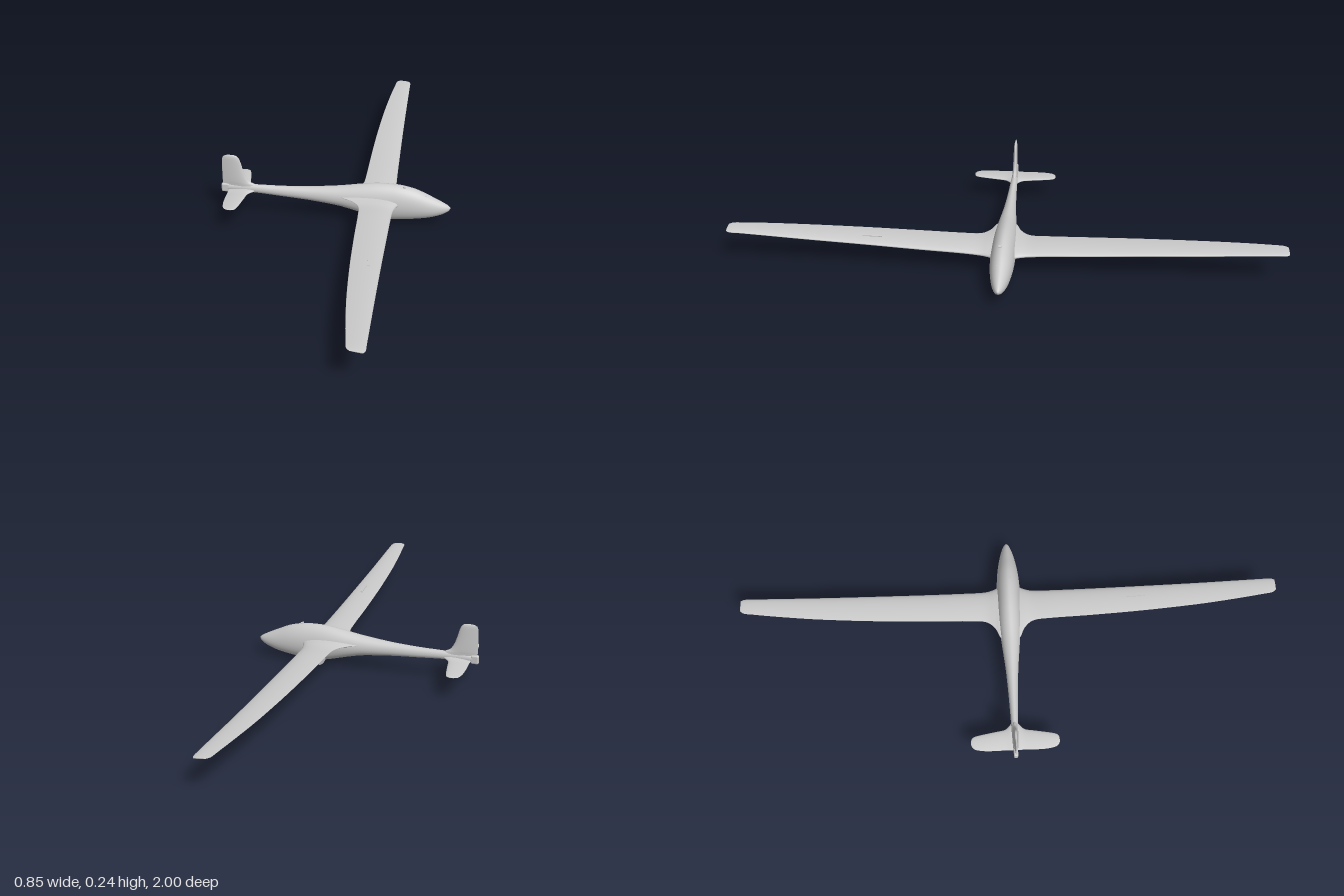
import * as THREE from 'three';
import { RoundedBoxGeometry } from 'three/addons/geometries/RoundedBoxGeometry.js';

const grey = new THREE.MeshStandardMaterial({ color: 0xcccccc });

function add(parent, name, geometry, x = 0, y = 0, z = 0) {
  const mesh = new THREE.Mesh(geometry, grey);
  mesh.name = name;
  mesh.position.set(x, y, z);
  parent.add(mesh);
  return mesh;
}

// Resample a table of section values with a smooth spline through each column
function smooth(rows, count) {
  const curves = rows[0].map((_, c) =>
    new THREE.SplineCurve(rows.map((r, i) => new THREE.Vector2(i, r[c]))));
  return Array.from({ length: count + 1 }, (_, i) => curves.map((c) => c.getPoint(i / count).y));
}

// Skin closed rings of points, capping both ends; faces are turned outward by signed volume
function loft(rings) {
  const n = rings[0].length, pts = rings.flat(), idx = [];
  for (let i = 0; i < rings.length - 1; i++) {
    for (let j = 0; j < n; j++) {
      const a = i * n + j, b = i * n + (j + 1) % n;
      idx.push(a, b, a + n, b, b + n, a + n);
    }
  }
  [0, rings.length - 1].forEach((r) => {
    const centre = rings[r].reduce((s, p) => s.add(p), new THREE.Vector3()).divideScalar(n);
    const c = pts.push(centre) - 1;
    for (let j = 0; j < n; j++) {
      const a = r * n + j, b = r * n + (j + 1) % n;
      idx.push(...(r === 0 ? [c, b, a] : [c, a, b]));
    }
  });
  let volume = 0;
  for (let i = 0; i < idx.length; i += 3) {
    volume += pts[idx[i]].dot(pts[idx[i + 1]].clone().cross(pts[idx[i + 2]]));
  }
  if (volume < 0) idx.reverse();
  const g = new THREE.BufferGeometry().setFromPoints(pts);
  g.setIndex(idx);
  g.computeVertexNormals();
  return g;
}

// Teardrop aerofoil outline: [position along chord, offset across it]
function foil(te, le, thickness, n = 28) {
  return Array.from({ length: n }, (_, i) => {
    const a = (i / n) * Math.PI * 2, u = 0.5 + 0.5 * Math.cos(a);
    return [te + (le - te) * u, thickness * 0.65 * Math.sin(a) * Math.sqrt(u + 0.03)];
  });
}

// Span rows: [z, trailing x, leading x, mid y, thickness, drop towards the leading edge]
function liftingSurface(rows, count) {
  const half = smooth(rows, count);
  const full = [...half.slice(1).reverse().map((r) => [-r[0], ...r.slice(1)]), ...half];
  return loft(full.map(([z, te, le, y, t, drop]) =>
    foil(te, le, t).map(([x, h]) =>
      new THREE.Vector3(x, y + h - drop * ((x - te) / (le - te) - 0.5), z))));
}

export function createModel() {
  const model = new THREE.Group();
  model.name = 'glider';
  const craft = new THREE.Group();
  craft.name = 'airframe';
  craft.rotation.y = 0.012;
  model.add(craft);

  // Fuselage: [x, top, bottom, half width]
  const body = smooth([
    [-0.425, 0.113, 0.091, 0.006], [-0.38, 0.119, 0.09, 0.01], [-0.3, 0.12, 0.088, 0.013],
    [-0.2, 0.12, 0.08, 0.017], [-0.1, 0.124, 0.072, 0.023], [0, 0.133, 0.06, 0.033],
    [0.05, 0.14, 0.049, 0.038], [0.1, 0.148, 0.035, 0.042], [0.15, 0.154, 0.021, 0.044],
    [0.2, 0.155, 0.014, 0.044], [0.25, 0.15, 0.017, 0.043], [0.3, 0.137, 0.022, 0.039],
    [0.35, 0.114, 0.03, 0.031], [0.39, 0.094, 0.042, 0.021], [0.415, 0.08, 0.055, 0.011],
    [0.425, 0.071, 0.066, 0.002],
  ], 75);
  add(craft, 'fuselage', loft(body.map(([x, top, bottom, w]) => {
    const mid = bottom + (top - bottom) * 0.45;
    return Array.from({ length: 40 }, (_, i) => {
      const a = (i / 40) * Math.PI * 2, s = Math.sin(a), c = Math.cos(a);
      const z = Math.sign(c) * Math.abs(c) ** (s > 0 ? 1.1 : 0.8) * w;
      return new THREE.Vector3(x, mid + s * (s > 0 ? top - mid : mid - bottom), z);
    });
  })));

  // Main wing with a flared root and raised tips
  add(craft, 'wing', liftingSurface([
    [0, 0.0, 0.25, 0.098, 0.034, 0.016], [0.035, 0.025, 0.238, 0.097, 0.032, 0.016],
    [0.055, 0.065, 0.228, 0.096, 0.028, 0.015], [0.09, 0.093, 0.219, 0.095, 0.023, 0.014],
    [0.16, 0.099, 0.216, 0.098, 0.021, 0.013], [0.3, 0.102, 0.214, 0.103, 0.019, 0.012],
    [0.5, 0.109, 0.212, 0.112, 0.016, 0.01], [0.7, 0.121, 0.211, 0.121, 0.014, 0.009],
    [0.85, 0.135, 0.211, 0.129, 0.011, 0.008], [0.95, 0.147, 0.211, 0.134, 0.009, 0.007],
    [0.985, 0.152, 0.211, 0.135, 0.008, 0.007], [1.0, 0.163, 0.205, 0.136, 0.004, 0.005],
  ], 66));

  // Airbrake plate on one wing
  add(craft, 'airbrake', new THREE.BoxGeometry(0.008, 0.006, 0.07), 0.17, 0.118, 0.475)
    .rotation.set(-0.04, 0.04, -0.1);

  // Tailplane
  add(craft, 'tailplane', liftingSurface([
    [0, -0.403, -0.285, 0.097, 0.014, 0], [0.015, -0.402, -0.305, 0.097, 0.013, 0],
    [0.035, -0.401, -0.324, 0.096, 0.011, 0], [0.07, -0.402, -0.331, 0.096, 0.01, 0],
    [0.11, -0.401, -0.338, 0.096, 0.009, 0], [0.14, -0.396, -0.344, 0.096, 0.007, 0],
    [0.154, -0.388, -0.35, 0.096, 0.005, 0], [0.16, -0.377, -0.361, 0.096, 0.002, 0],
  ], 35));

  // Upright fin: [y, trailing x, leading x, thickness]
  const fin = smooth([
    [0.1, -0.424, -0.27, 0.018], [0.12, -0.424, -0.302, 0.018], [0.13, -0.424, -0.321, 0.018],
    [0.15, -0.424, -0.335, 0.017], [0.18, -0.424, -0.346, 0.015], [0.21, -0.423, -0.354, 0.013],
    [0.226, -0.421, -0.361, 0.011], [0.234, -0.414, -0.37, 0.007], [0.237, -0.404, -0.382, 0.003],
  ], 40);
  add(craft, 'fin', loft(fin.map(([y, te, le, t]) =>
    foil(te, le, t).map(([x, h]) => new THREE.Vector3(x, y, h)))));
  add(craft, 'rudderFoot', new RoundedBoxGeometry(0.03, 0.034, 0.016, 3, 0.006), -0.414, 0.102, 0);

  // Wheel between a pair of open doors
  const wheel = add(craft, 'wheel', new THREE.CylinderGeometry(0.02, 0.02, 0.016, 28), 0.178, 0.03, 0);
  wheel.rotation.x = Math.PI / 2;
  const doorShape = new THREE.Shape();
  doorShape.moveTo(0.15, 0.03);
  doorShape.quadraticCurveTo(0.16, 0.004, 0.174, 0.001);
  doorShape.quadraticCurveTo(0.19, 0.0, 0.2, 0.015);
  doorShape.lineTo(0.2, 0.03);
  const doorGeometry = new THREE.ExtrudeGeometry(doorShape, { depth: 0.005, bevelEnabled: false });
  for (const side of [1, -1]) {
    add(craft, side > 0 ? 'leftWheelDoor' : 'rightWheelDoor', doorGeometry, 0, 0, side * 0.024 - 0.0025)
      .rotation.x = side * 0.06;
  }

  // Small vents on the canopy ridge
  for (const [x, y, tilt] of [[0.254, 0.148, -0.18], [0.332, 0.116, -0.5]]) {
    add(craft, 'vent', new THREE.BoxGeometry(0.009, 0.006, 0.012), x, y, 0.006).rotation.z = tilt;
  }
  return model;
}
